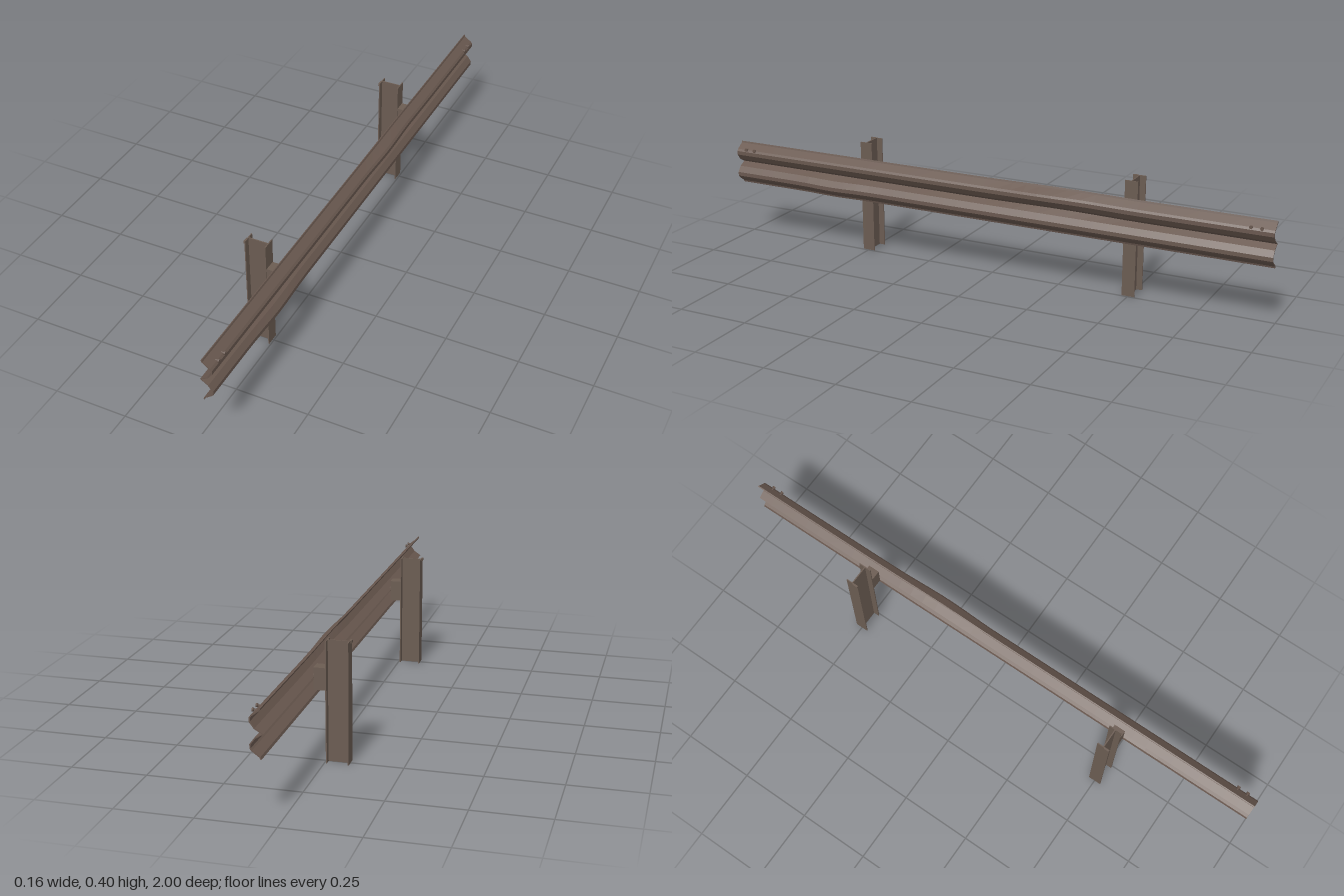
import * as THREE from 'three';

const postSteel = new THREE.MeshStandardMaterial({ color: 0x6b5c52 });
postSteel.name = 'weathered post steel';
const railSteel = new THREE.MeshStandardMaterial({ color: 0x69584f });
railSteel.name = 'weathered rail steel';

function box(name, mat, x0, x1, y0, y1, z0, z1) {
  const m = new THREE.Mesh(new THREE.BoxGeometry(x1 - x0, y1 - y0, z1 - z0), mat);
  m.position.set((x0 + x1) / 2, (y0 + y1) / 2, (z0 + z1) / 2);
  m.name = name;
  return m;
}

// Bolt with a hex head, pointing along +x
function bolt(name, x, y, z, radius, length) {
  const g = new THREE.CylinderGeometry(radius, radius, length, 6).rotateZ(-Math.PI / 2);
  const m = new THREE.Mesh(g, railSteel);
  m.position.set(x, y, z);
  m.name = name;
  return m;
}

// I-section post with its spacer block
function post(z) {
  const g = new THREE.Group();
  g.name = 'post';
  const w = 0.0225;
  g.add(
    box('backFlange', postSteel, -0.079, -0.0755, 0, 0.4, -w, w),
    box('frontFlange', postSteel, -0.0085, -0.005, 0, 0.4, -w, w),
    box('web', postSteel, -0.0755, -0.0085, 0, 0.4, -0.002, 0.002),
    box('bentFlangeCorner', postSteel, -0.082, -0.079, 0.391, 0.4, 0.004, w),
    box('spacerBlock', postSteel, -0.005, 0.033, 0.24, 0.313, -0.02, 0.02),
    bolt('blockBolt', 0.037, 0.279, 0, 0.008, 0.004)
  );
  g.position.z = z;
  return g;
}

// Smooth bump centred on c with half width r
const bump = (z, c, r) => {
  const t = Math.abs(z - c) / r;
  return t < 1 ? (1 + Math.cos(Math.PI * t)) / 2 : 0;
};

// Two-wave rail: folded sheet section swept along z, then slightly dented
function rail() {
  const upper = [[0.0425, 0.356], [0.045, 0.349], [0.069, 0.331], [0.074, 0.325],
    [0.074, 0.313], [0.06, 0.294]];
  const mid = 0.279;
  const line = [...upper, [0.036, mid],
    ...upper.slice().reverse().map(([x, y]) => [x, 2 * mid - y])]
    .map(([x, y]) => new THREE.Vector2(x, y));
  // Offset the centre line by half the sheet thickness on each side
  const side = (s) => line.map((p, i) => {
    const a = line[Math.max(i - 1, 0)], b = line[Math.min(i + 1, line.length - 1)];
    const d = b.clone().sub(a).normalize();
    return new THREE.Vector2(p.x - d.y * s, p.y + d.x * s);
  });
  const shape = new THREE.Shape([...side(0.002), ...side(-0.002).reverse()]);
  const g = new THREE.ExtrudeGeometry(shape, { depth: 2, steps: 40, bevelEnabled: false });
  g.translate(0, 0, -1);
  const p = g.attributes.position;
  for (let i = 0; i < p.count; i++) {
    const x = p.getX(i), y = p.getY(i), z = p.getZ(i);
    const out = THREE.MathUtils.clamp((x - 0.036) / 0.038, 0, 1);
    if (y > mid) {
      p.setX(i, x + 0.005 * out * bump(z, -0.22, 0.2));
      p.setY(i, y + 0.003 * bump(z, -0.28, 0.3));
    } else {
      p.setX(i, x + 0.004 * out * bump(z, 0.6, 0.2));
      p.setY(i, y - 0.002 * bump(z, 0.6, 0.12));
    }
  }
  g.computeVertexNormals();
  const m = new THREE.Mesh(g, railSteel);
  m.name = 'rail';
  return m;
}

export function createModel() {
  const model = new THREE.Group();
  model.name = 'guardrail';
  model.add(rail());
  for (const s of [-1, 1]) {
    model.add(post(0.5 * s));
    // Splice bolts near each rail end
    for (const z of [0.925, 0.96]) {
      model.add(bolt('spliceBoltHead', 0.0765, 0.334, z * s, 0.006, 0.005));
      model.add(bolt('spliceBoltShaft', 0.07, 0.334, z * s, 0.003, 0.012));
    }
  }
  return model;
}
